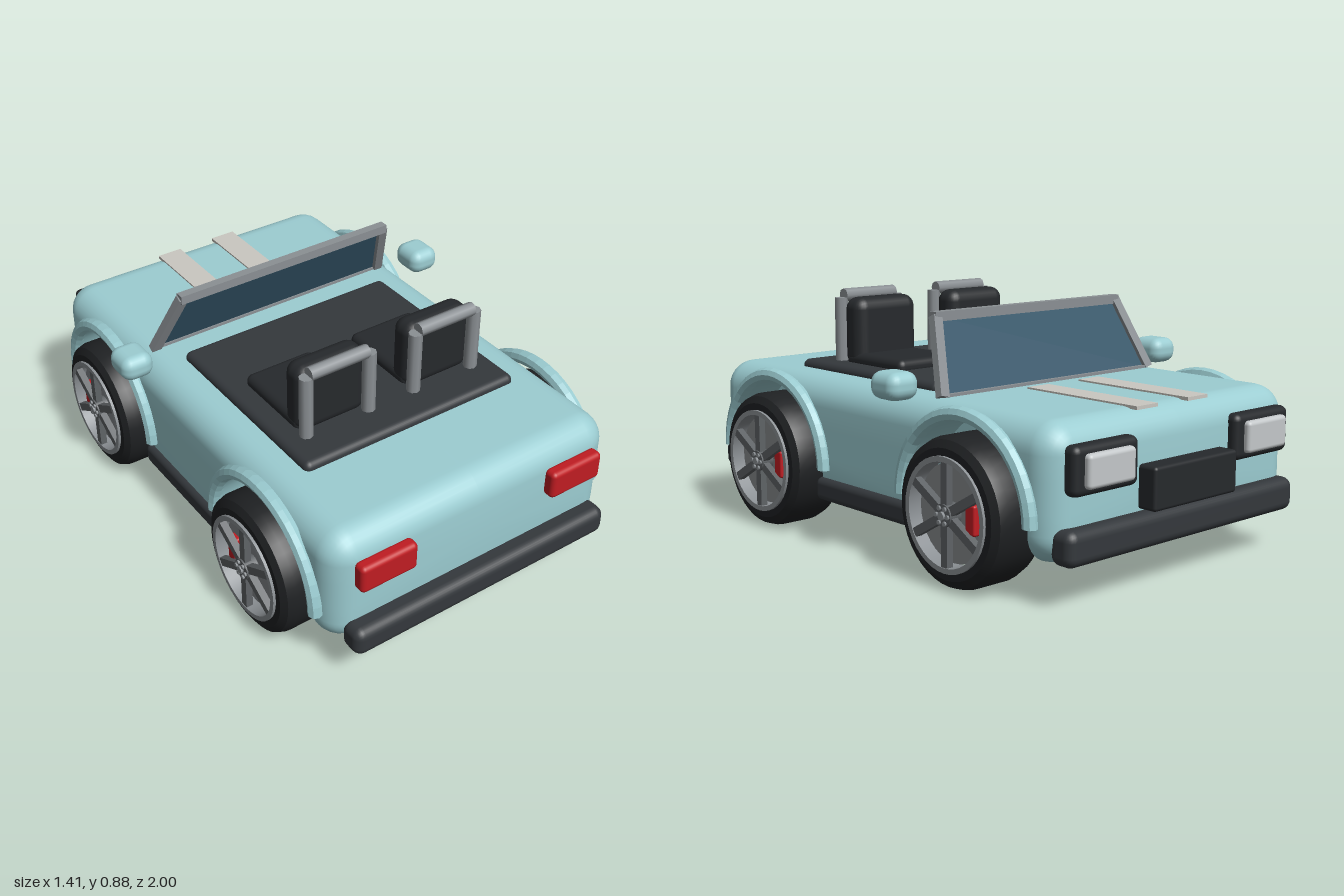
import * as THREE from 'three';
import { toCreasedNormals } from 'three/addons/utils/BufferGeometryUtils.js';
import { RoundedBoxGeometry } from 'three/addons/geometries/RoundedBoxGeometry.js';

const mat = (color, extra = {}) => new THREE.MeshStandardMaterial({ color, ...extra });
const paint = mat(0x9ccdd2);
const dark = mat(0x34383c);
const rubber = mat(0x1f2123);
const black = mat(0x26292c);
const silver = mat(0x8b9094);
const rimGrey = mat(0x5f6366);
const discGrey = mat(0x85898c);
const red = mat(0xc01c22);
const lens = mat(0xc4c8ca);
const cream = mat(0xcac8c1);
const glassBlue = mat(0x34566a, { side: THREE.DoubleSide });

function add(parent, name, geometry, material, x = 0, y = 0, z = 0) {
  const mesh = new THREE.Mesh(geometry, material);
  mesh.name = name;
  mesh.position.set(x, y, z);
  parent.add(mesh);
  return mesh;
}

// Rounded block given by its extents on each axis
function block(parent, name, material, [x0, x1], [y0, y1], [z0, z1], r = 0.02) {
  const geo = new RoundedBoxGeometry(x1 - x0, y1 - y0, z1 - z0, 3, r);
  return add(parent, name, geo, material, (x0 + x1) / 2, (y0 + y1) / 2, (z0 + z1) / 2);
}

// Square bar between two points
function bar(parent, name, material, a, b, w, d = w) {
  const from = new THREE.Vector3(...a), to = new THREE.Vector3(...b);
  const mesh = add(parent, name, new THREE.BoxGeometry(w, from.distanceTo(to), d), material);
  mesh.position.copy(from).add(to).multiplyScalar(0.5);
  mesh.quaternion.setFromUnitVectors(new THREE.Vector3(0, 1, 0), to.sub(from).normalize());
  return mesh;
}

// Body measurements
const W = 0.59, BOTTOM = 0.13, TOP = 0.58, END = 0.93, R = 0.1;
const WHEEL_Y = 0.255, WHEEL_Z = 0.535, ARCH = 0.29, WELL_X = 0.45;

// Body: cross-sections along z, with the lower edge raised over each wheel
function bodyGeometry() {
  const levels = [];
  for (let i = 0; i <= 8; i++) levels.push(TOP - R + R * Math.cos(i * Math.PI / 16));
  levels.push(0.4, 0.3);
  for (let i = 0; i <= 8; i++) levels.push(BOTTOM + R - R * Math.sin(i * Math.PI / 16));
  const edge = (y) => {
    const over = Math.max(y - (TOP - R), BOTTOM + R - y, 0);
    return W - R + Math.sqrt(Math.max(R * R - over * over, 0));
  };
  const section = (low) => {
    const half = [[0, TOP]];
    for (const y of levels) half.push([edge(Math.max(y, low)), Math.max(y, low)]);
    half.push([WELL_X, low], [WELL_X, BOTTOM], [0, BOTTOM]);
    return half.concat(half.slice(0, -1).reverse().map(([x, y]) => [-x, y]));
  };
  const core = ([x, y]) => [
    THREE.MathUtils.clamp(x, R - W, W - R), THREE.MathUtils.clamp(y, BOTTOM + R, TOP - R)];

  const rings = [];
  const ring = (points, z) => rings.push(points.map(([x, y]) => [x, y, z]));
  const plain = section(BOTTOM);
  const cap = (s) => ring(plain.map(() => [0, 0.355]), s * END);
  const roundedEnd = (s, a) => ring(plain.map((p) => {
    const c = core(p);
    return [0, 1].map((k) => c[k] + (p[k] - c[k]) * Math.cos(a));
  }), s * (END - R + R * Math.sin(a)));

  cap(-1);
  for (let i = 8; i >= 0; i--) roundedEnd(-1, i * Math.PI / 16);
  for (const zc of [-WHEEL_Z, WHEEL_Z]) {
    ring(plain, zc - ARCH);
    for (let i = 0; i <= 24; i++) {
      const t = i * Math.PI / 24;
      ring(section(WHEEL_Y + ARCH * Math.sin(t)), zc - ARCH * Math.cos(t));
    }
    ring(plain, zc + ARCH);
  }
  for (let i = 0; i <= 8; i++) roundedEnd(1, i * Math.PI / 16);
  cap(1);

  const n = plain.length, index = [];
  for (let i = 0; i < rings.length - 1; i++) {
    for (let j = 0; j < n - 1; j++) {
      const a = i * n + j, c = a + n;
      index.push(a, c, a + 1, a + 1, c, c + 1);
    }
  }
  const geo = new THREE.BufferGeometry();
  geo.setAttribute('position', new THREE.Float32BufferAttribute(rings.flat(2), 3));
  geo.setIndex(index);
  return toCreasedNormals(geo, 0.5);
}

// Ring or disc turned about the x axis; profile is [radius, x]
function turned(profile, segments = 40) {
  const geo = new THREE.LatheGeometry(profile.map(([r, x]) => new THREE.Vector2(r, x)), segments);
  return toCreasedNormals(geo.rotateZ(-Math.PI / 2), 0.5);
}
const cylinderX = (r, len, n) => new THREE.CylinderGeometry(r, r, len, n).rotateZ(-Math.PI / 2);

function makeWheel(side) {
  const wheel = new THREE.Group();
  wheel.name = 'wheel';
  add(wheel, 'tyre', turned([[0.185, -0.105], [0.215, -0.105], [0.24, -0.09], [0.25, -0.06],
    [0.25, 0.06], [0.24, 0.09], [0.215, 0.105], [0.185, 0.105], [0.185, 0.05]]), rubber);
  add(wheel, 'wheelBack', cylinderX(0.19, 0.1, 40), rubber, -0.053);
  add(wheel, 'rim', turned([[0.19, 0.05], [0.19, 0.115], [0.172, 0.115], [0.172, 0.05]]), silver);
  add(wheel, 'brakeDisc', cylinderX(0.165, 0.07, 32), discGrey, 0.035);
  block(wheel, 'brakeCaliper', red, [0.06, 0.095], [-0.05, 0.05],
    side > 0 ? [-0.125, -0.08] : [0.08, 0.125], 0.008);
  for (let i = 0; i < 6; i++) {
    const a = i * Math.PI / 3;
    const spoke = add(wheel, 'spoke', new THREE.BoxGeometry(0.025, 0.155, 0.03), rimGrey,
      0.1, 0.1 * Math.cos(a), 0.1 * Math.sin(a));
    spoke.rotation.x = a;
    add(wheel, 'wheelNut', cylinderX(0.008, 0.02, 6), silver,
      0.115, 0.027 * Math.cos(a + 0.5), 0.027 * Math.sin(a + 0.5));
  }
  add(wheel, 'hub', cylinderX(0.038, 0.06, 16), rimGrey, 0.088);
  add(wheel, 'hubCap', cylinderX(0.014, 0.02, 12), silver, 0.117);
  wheel.rotation.y = side > 0 ? 0 : Math.PI;
  return wheel;
}

function makeSeat(x) {
  const seat = new THREE.Group();
  seat.name = 'seat';
  block(seat, 'cushion', black, [-0.14, 0.14], [0.59, 0.645], [0.07, 0.4], 0.025);
  block(seat, 'backrest', black, [-0.14, 0.14], [0.59, 0.85], [0.31, 0.42], 0.045);
  for (const s of [-1, 1]) {
    add(seat, 'hoopPost', new THREE.CylinderGeometry(0.025, 0.025, 0.26, 8),
      silver, s * 0.128, 0.715, 0.437);
  }
  add(seat, 'hoopTop', cylinderX(0.025, 0.235, 8), silver, 0, 0.853, 0.437);
  seat.position.x = x;
  return seat;
}

export function createModel() {
  const car = new THREE.Group();
  car.name = 'car';
  add(car, 'body', bodyGeometry(), paint);
  block(car, 'cabin', dark, [-0.445, 0.445], [0.53, 0.608], [-0.22, 0.575], 0.025);

  // Bumpers and number plate panel
  block(car, 'tailBumper', dark, [-0.54, 0.54], [0.135, 0.243], [0.9, 1.0], 0.035);
  block(car, 'noseBumper', dark, [-0.56, 0.56], [0.14, 0.258], [-0.98, -0.88], 0.035);
  block(car, 'nosePlate', black, [-0.205, 0.205], [0.265, 0.41], [-1.0, -0.92], 0.012);

  // Windscreen
  const lowZ = -0.33, highZ = -0.215, lowY = 0.58, highY = 0.835;
  const pane = new THREE.BufferGeometry();
  pane.setAttribute('position', new THREE.Float32BufferAttribute(
    [-0.5, lowY, lowZ, 0.5, lowY, lowZ, 0.435, highY, highZ, -0.435, highY, highZ], 3));
  pane.setIndex([0, 1, 2, 0, 2, 3]);
  pane.computeVertexNormals();
  add(car, 'windscreenGlass', pane, glassBlue);
  bar(car, 'windscreenTop', silver, [-0.45, highY, highZ], [0.45, highY, highZ], 0.033);
  bar(car, 'windscreenBase', silver, [-0.5, lowY, lowZ], [0.5, lowY, lowZ], 0.02);

  // Everything that comes in left and right pairs
  for (const s of [-1, 1]) {
    const span = (a, b) => (s > 0 ? [a, b] : [-b, -a]);
    bar(car, 'windscreenPost', silver, [s * 0.505, lowY, lowZ], [s * 0.438, highY, highZ], 0.036, 0.03);
    block(car, 'sill', dark, span(0.5, 0.61), [0.14, 0.225], [-0.27, 0.27], 0.025);
    block(car, 'mirror', paint, span(0.58, 0.703), [0.58, 0.675], [-0.315, -0.175], 0.04);
    block(car, 'tailLight', red, span(0.285, 0.507), [0.385, 0.492], [0.92, 0.973], 0.018);
    block(car, 'headlightHousing', black, span(0.24, 0.53), [0.355, 0.515], [-0.967, -0.9], 0.025);
    block(car, 'headlightLens', lens, span(0.28, 0.49), [0.38, 0.49], [-0.99, -0.94], 0.015);
    add(car, 'bonnetStripe', new THREE.BoxGeometry(0.1, 0.012, 0.5), cream, s * 0.125, 0.58, -0.64);
    car.add(makeSeat(s * 0.225));

    for (const z of [-WHEEL_Z, WHEEL_Z]) {
      const wheel = makeWheel(s);
      wheel.position.set(s * 0.565, 0.25, z);
      car.add(wheel);
      const arch = new THREE.TorusGeometry(0.31, 0.026, 8, 24, Math.PI).rotateY(Math.PI / 2);
      add(car, 'wheelArch', arch, mat(0x9ccdd2, { flatShading: true, side: THREE.DoubleSide }),
        s * 0.598, WHEEL_Y, z);
    }
  }
  return car;
}
